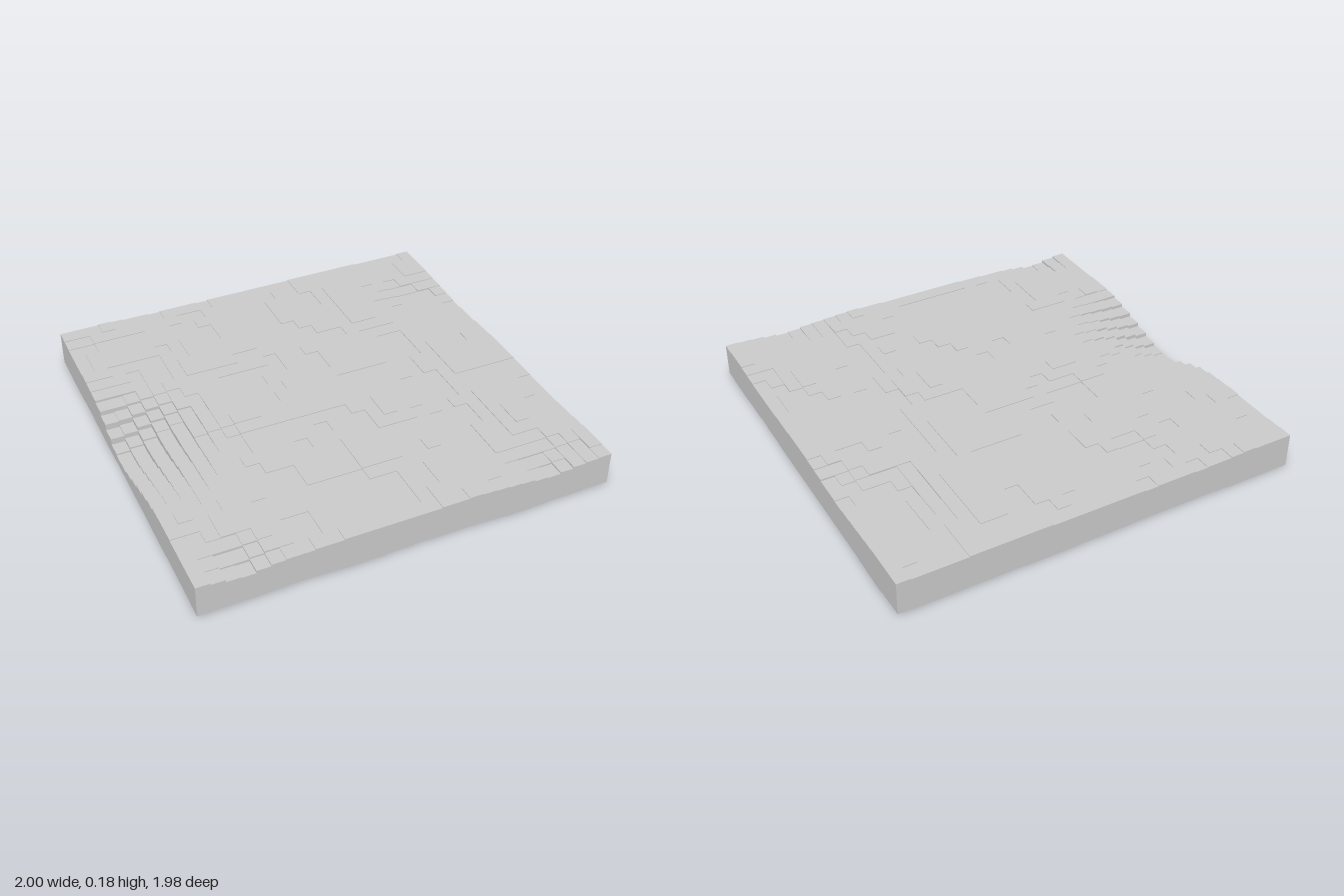
import * as THREE from 'three';
import { mergeGeometries } from 'three/addons/utils/BufferGeometryUtils.js';

const COLS = 30, ROWS = 26;
const CELL_X = 2 / COLS, CELL_Z = 1.98 / ROWS;

// Repeatable value in 0..1 for a lattice point
function hash(i, j) {
  const s = Math.sin(i * 127.1 + j * 311.7) * 43758.5453;
  return s - Math.floor(s);
}

// Smooth value noise in 0..1
function noise(x, z) {
  const i = Math.floor(x), j = Math.floor(z);
  const u = THREE.MathUtils.smoothstep(x - i, 0, 1);
  const v = THREE.MathUtils.smoothstep(z - j, 0, 1);
  return THREE.MathUtils.lerp(
    THREE.MathUtils.lerp(hash(i, j), hash(i + 1, j), u),
    THREE.MathUtils.lerp(hash(i, j + 1), hash(i + 1, j + 1), u), v);
}

// Soft hollow centred on (cx, cz)
const hollow = (x, z, cx, cz, rx, rz) =>
  Math.exp(-(((x - cx) / rx) ** 2) - ((z - cz) / rz) ** 2);

// Ground height, rounded to small terraces
function topHeight(x, z) {
  let h = 0.163 + 0.014 * noise(x * 4 + 20, z * 4 + 20) + 0.005 * noise(x * 9 + 50, z * 9 + 50);
  h -= 0.125 * hollow(x, z, -1, -0.04, 0.24, z < -0.04 ? 0.24 : 0.36); // gully at the side edge
  h -= 0.03 * hollow(x, z, -0.8, 1, 0.14, 0.2); // dips in the front edge
  h -= 0.025 * hollow(x, z, 0.7, 1, 0.16, 0.2);
  h -= 0.014 * hollow(x, z, 1, -0.4, 0.3, 0.25); // dip in the other side edge
  return Math.max(0.03, Math.round(h / 0.004) * 0.004);
}

// Pillar bottoms are slightly uneven, lowest at y = 0
const bottomHeight = (x, z) => Math.round(noise(x * 4 + 70, z * 4 + 70) * 4) * 0.0035;

// Hollow square pillar, open underneath
function pillar(x, z) {
  const top = topHeight(x, z), bottom = bottomHeight(x, z);
  const geo = new THREE.BoxGeometry(CELL_X, top - bottom, CELL_Z);
  const index = Array.from(geo.index.array);
  index.splice(18, 6); // drop the underside
  geo.setIndex(index);
  geo.clearGroups();
  return geo.translate(x, (top + bottom) / 2, z);
}

export function createModel() {
  const group = new THREE.Group();
  group.name = 'terrainTile';
  const material = new THREE.MeshStandardMaterial({
    color: 0xcccccc, flatShading: true, side: THREE.DoubleSide,
  });

  // One mesh per row of pillars, front to back
  for (let r = 0; r < ROWS; r++) {
    const z = (r + 0.5 - ROWS / 2) * CELL_Z;
    const row = [];
    for (let c = 0; c < COLS; c++) row.push(pillar((c + 0.5 - COLS / 2) * CELL_X, z));
    const mesh = new THREE.Mesh(mergeGeometries(row), material);
    mesh.name = `pillarRow${r + 1}`;
    group.add(mesh);
  }
  return group;
}
